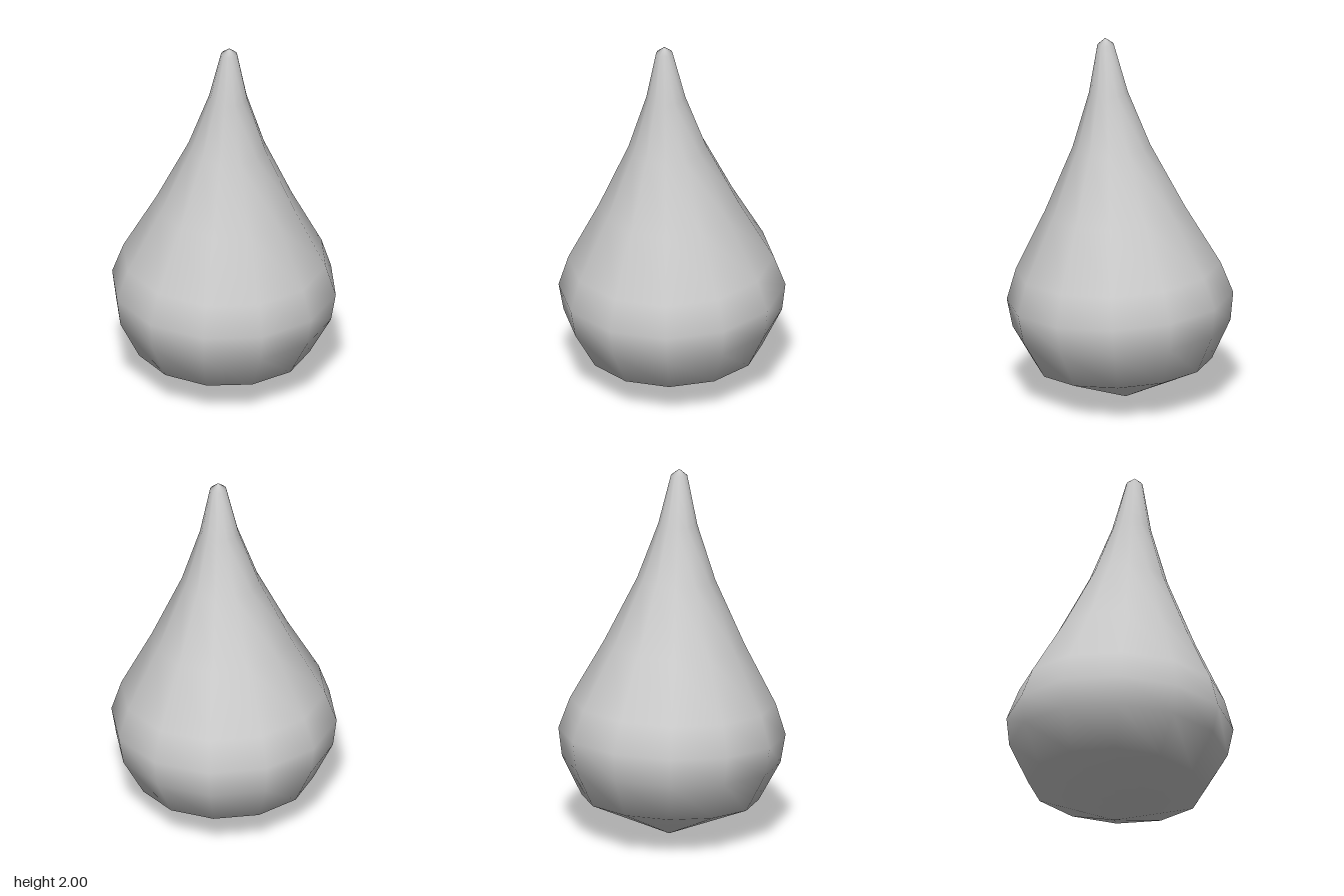
import * as THREE from 'three';

export function createModel() {
  const group = new THREE.Group();
  const sides = 12;
  // Flat-to-flat half widths up the drop, from the bottom point to the tip
  const profile = [
    [0, 0], [0.454, 0.2], [0.56, 0.41], [0.582, 0.563], [0.527, 0.73],
    [0.36, 1.05], [0.2, 1.4], [0.1, 1.7], [0.042, 1.967], [0, 2.002],
  ].map(([r, y]) => new THREE.Vector2(r / Math.cos(Math.PI / sides), y));

  // Twelve-sided teardrop, with flat sides facing front and side
  const drop = new THREE.Mesh(
    new THREE.LatheGeometry(profile, sides, Math.PI / sides),
    new THREE.MeshStandardMaterial({ color: 0xcccccc })
  );
  drop.name = 'teardrop';

  // Slight forward lean
  drop.rotation.set(0.053, 0, 0.013);
  drop.position.set(0.01, 0, -0.037);
  group.add(drop);
  return group;
}
